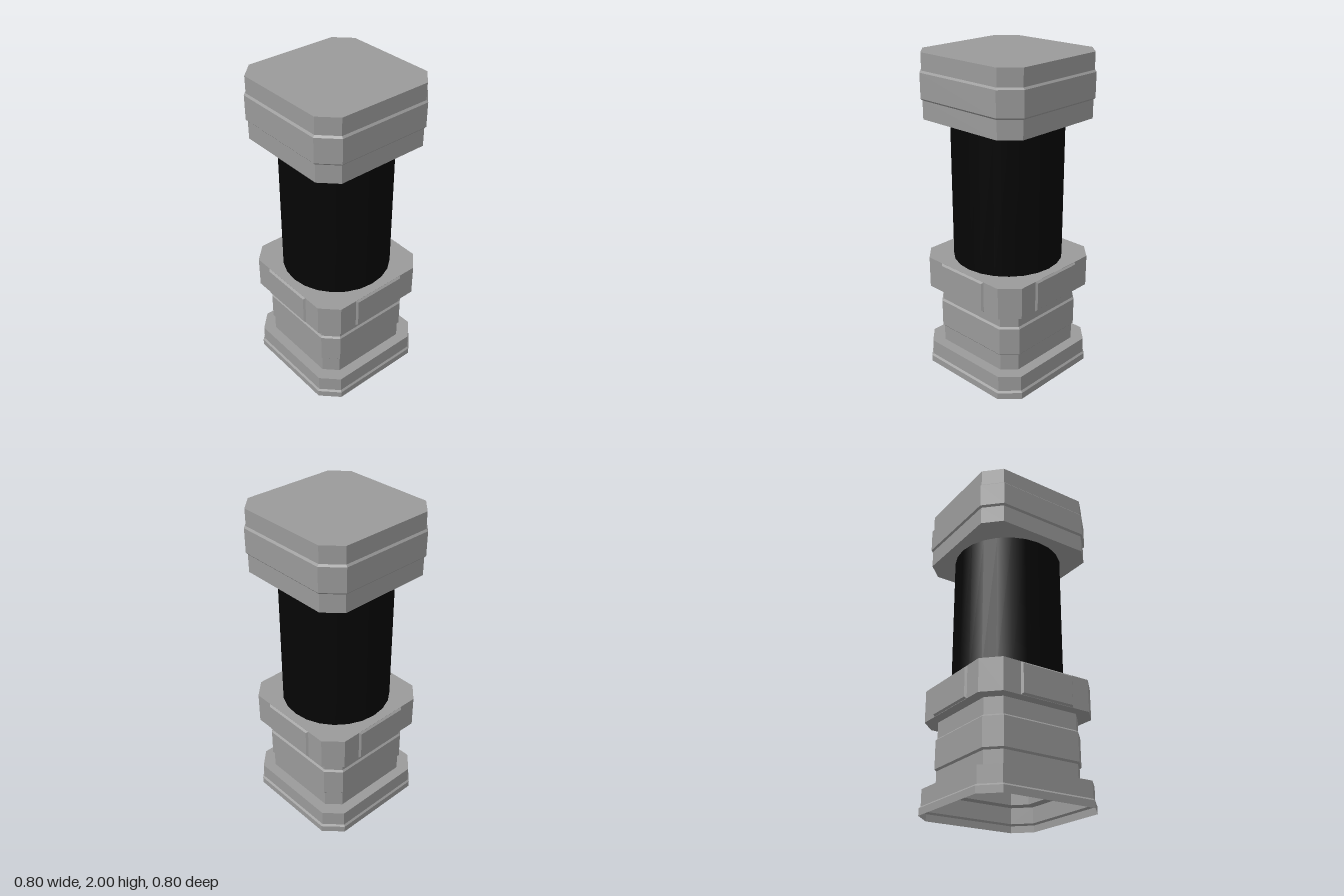
import * as THREE from 'three';

const grey = new THREE.MeshStandardMaterial({ color: 0x9a9a9a, flatShading: true, side: THREE.DoubleSide });
const black = new THREE.MeshStandardMaterial({ color: 0x050505 });

// Square with cut corners: a = half width, b = where the cut begins
const octagon = (a, b) => [[a, b], [b, a], [-b, a], [-a, b], [-a, -b], [-b, -a], [b, -a], [a, -b]];

// Plain rectangle with half sizes a (x) and b (z)
const rectangle = (a, b) => [[a, b], [-a, b], [-a, -b], [a, -b]];

// Joins a stack of outlines [y, points] into a flat-sided shell, with optional end faces
function loft(name, rings, closeBottom, closeTop) {
  const pos = [];
  const put = (y, p) => pos.push(p[0], y, p[1]);
  for (let r = 0; r < rings.length - 1; r++) {
    const [y0, lo] = rings[r], [y1, hi] = rings[r + 1];
    for (let i = 0; i < lo.length; i++) {
      const j = (i + 1) % lo.length;
      put(y0, lo[i]); put(y1, hi[i]); put(y1, hi[j]);
      put(y0, lo[i]); put(y1, hi[j]); put(y0, lo[j]);
    }
  }
  const close = ([y, p], up) => {
    for (let i = 1; i < p.length - 1; i++) {
      put(y, p[0]);
      put(y, up ? p[i + 1] : p[i]);
      put(y, up ? p[i] : p[i + 1]);
    }
  };
  if (closeBottom) close(rings[0], false);
  if (closeTop) close(rings[rings.length - 1], true);
  const geo = new THREE.BufferGeometry();
  geo.setAttribute('position', new THREE.Float32BufferAttribute(pos, 3));
  geo.computeVertexNormals();
  const mesh = new THREE.Mesh(geo, grey);
  mesh.name = name;
  return mesh;
}

const stack = (rows) => rows.map(([y, a, b]) => [y, octagon(a, b)]);

export function createModel() {
  const model = new THREE.Group();
  model.name = 'column';

  // Hollow pedestal: foot, plinth, banded neck and collar, open underneath
  model.add(loft('pedestal', stack([
    [0, 0.4, 0.297], [0.042, 0.4, 0.297],
    [0.053, 0.39, 0.293], [0.152, 0.39, 0.293],
    [0.152, 0.325, 0.248], [0.254, 0.325, 0.248],
    [0.265, 0.335, 0.252], [0.438, 0.335, 0.252],
    [0.449, 0.325, 0.248], [0.549, 0.325, 0.248],
    [0.549, 0.39, 0.293], [0.746, 0.39, 0.293],
  ]), false, true));

  // Raised bevelled panel on each side of the collar
  for (let i = 0; i < 4; i++) {
    const panel = loft('collarPanel', [
      [0.39, rectangle(0.178, 0.097)],
      [0.401, rectangle(0.168, 0.087)],
    ], false, true);
    panel.rotation.x = Math.PI / 2;
    const side = new THREE.Group();
    side.name = 'collarSide';
    side.position.y = 0.648;
    side.rotation.y = i * Math.PI / 2;
    side.add(panel);
    model.add(side);
  }

  // Round dark shaft
  const shaft = new THREE.Mesh(new THREE.CylinderGeometry(0.335, 0.335, 0.86, 24), black);
  shaft.name = 'shaft';
  shaft.position.y = 0.746 + 0.86 / 2;
  model.add(shaft);

  // Capital with a raised middle band, floating just above the shaft
  model.add(loft('capital', stack([
    [1.62, 0.39, 0.293], [1.73, 0.39, 0.293],
    [1.741, 0.4, 0.297], [1.888, 0.4, 0.297],
    [1.899, 0.39, 0.293], [2, 0.39, 0.293],
  ]), true, true));

  return model;
}
